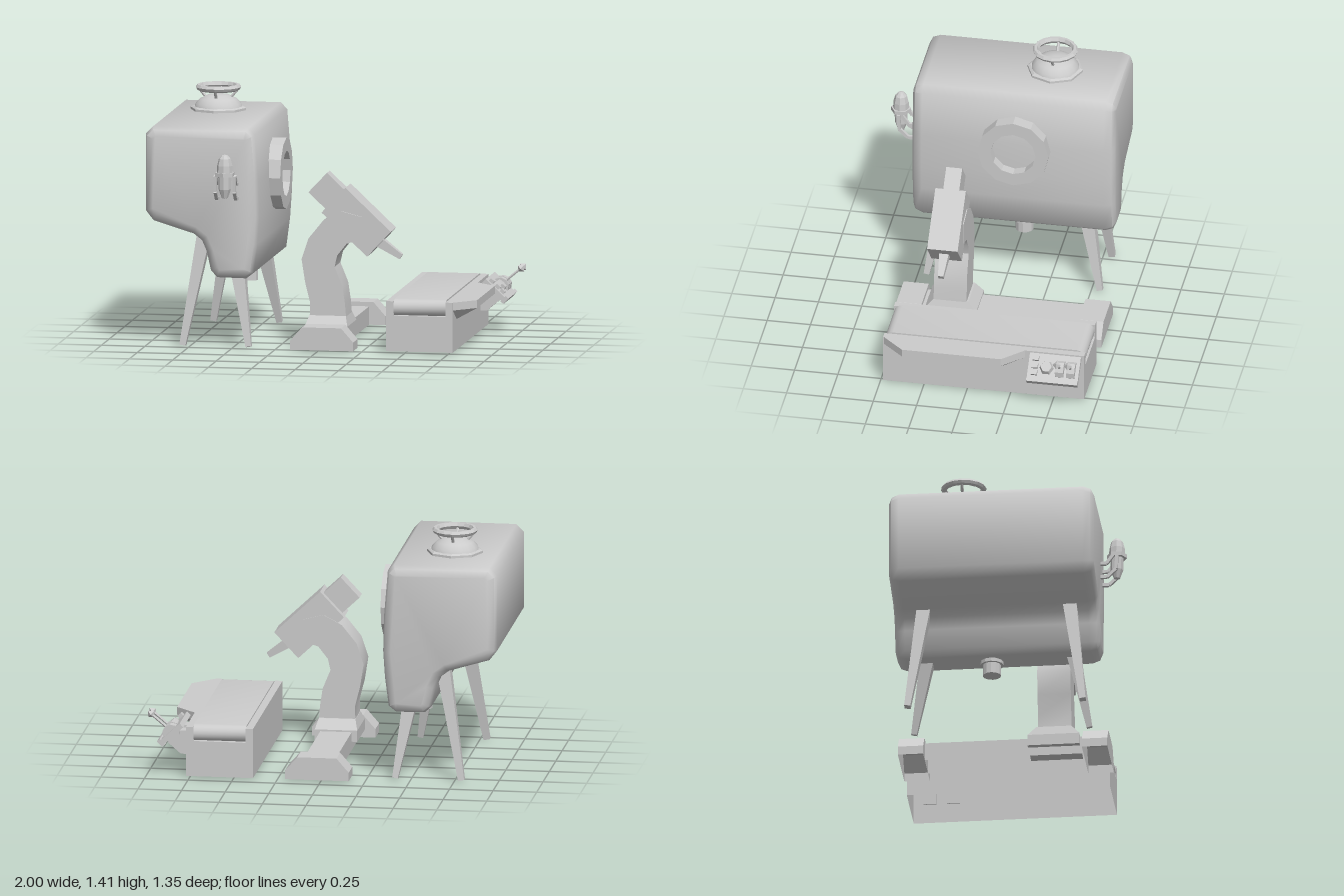
import * as THREE from 'three';
import { toCreasedNormals } from 'three/addons/utils/BufferGeometryUtils.js';
import { ConvexGeometry } from 'three/addons/geometries/ConvexGeometry.js';

const V = (x, y, z) => new THREE.Vector3(x, y, z);
const flat = new THREE.MeshStandardMaterial({ color: 0xcccccc, flatShading: true });
const smooth = new THREE.MeshStandardMaterial({ color: 0xcccccc });
const shell = new THREE.MeshStandardMaterial({ color: 0xcccccc, flatShading: true, side: THREE.DoubleSide });

function add(parent, name, geo, mat = flat) {
  const mesh = new THREE.Mesh(geo, mat);
  mesh.name = name;
  parent.add(mesh);
  return mesh;
}

function group(parent, name, x = 0, y = 0, z = 0) {
  const g = new THREE.Group();
  g.name = name;
  g.position.set(x, y, z);
  parent.add(g);
  return g;
}

// Box given by its limits on each axis
const box = (x0, x1, y0, y1, z0, z1) =>
  new THREE.BoxGeometry(x1 - x0, y1 - y0, z1 - z0).translate((x0 + x1) / 2, (y0 + y1) / 2, (z0 + z1) / 2);

const shapeOf = pts => new THREE.Shape(pts.map(p => new THREE.Vector2(...p)));

// Profile in x,y pulled along z
const pullZ = (pts, z0, z1) =>
  new THREE.ExtrudeGeometry(shapeOf(pts), { depth: z1 - z0, bevelEnabled: false }).translate(0, 0, z0);

// Profile in z,y pulled along x
const pullX = (pts, x0, x1) =>
  new THREE.ExtrudeGeometry(shapeOf(pts), { depth: x1 - x0, bevelEnabled: false }).rotateY(-Math.PI / 2).translate(x1, 0, 0);

const lathe = (pts, sides) => new THREE.LatheGeometry(pts.map(p => new THREE.Vector2(...p)), sides);

// Tapered rod from a to b
function rod(a, b, ra, rb, sides) {
  const dir = b.clone().sub(a);
  const geo = new THREE.CylinderGeometry(rb, ra, dir.length(), sides);
  if (sides === 4) geo.rotateY(Math.PI / 4);
  geo.applyQuaternion(new THREE.Quaternion().setFromUnitVectors(V(0, 1, 0), dir.normalize()));
  const mid = a.clone().add(b).multiplyScalar(0.5);
  return geo.translate(mid.x, mid.y, mid.z);
}

// Remove the faces lying on the ground, leaving a hollow shell
function openBottom(geo) {
  const src = geo.index ? geo.toNonIndexed() : geo;
  const p = src.attributes.position;
  const kept = [];
  for (let i = 0; i < p.count; i += 3) {
    if (Math.max(p.getY(i), p.getY(i + 1), p.getY(i + 2)) < 1e-4) continue;
    for (let k = i; k < i + 3; k++) kept.push(p.getX(k), p.getY(k), p.getZ(k));
  }
  const out = new THREE.BufferGeometry();
  out.setAttribute('position', new THREE.Float32BufferAttribute(kept, 3));
  out.computeVertexNormals();
  return out;
}

function buildTank(root) {
  const tank = group(root, 'tank');

  // Rounded body: inner outline swollen by the bevel
  const outline = [[-0.95, 1.19], [-0.935, 1.205], [-0.43, 1.205], [-0.42, 1.195], [-0.4, 0.95], [-0.395, 0.75],
    [-0.405, 0.6], [-0.424, 0.455], [-0.437, 0.445], [-0.565, 0.447], [-0.578, 0.46], [-0.6, 0.56], [-0.635, 0.64],
    [-0.7, 0.69], [-0.925, 0.758], [-0.95, 0.79]];
  const body = new THREE.ExtrudeGeometry(shapeOf(outline),
    { depth: 1.05, bevelThickness: 0.06, bevelSize: 0.05, bevelSegments: 2 }).translate(0, 0, -0.58);
  add(tank, 'tankBody', toCreasedNormals(body, 0.9), smooth);

  // Port ring on the side
  const port = add(tank, 'portRing', lathe([[0.205, 0], [0.205, 0.095], [0.13, 0.095], [0.13, 0]], 12));
  port.rotation.z = -Math.PI / 2;
  port.position.set(-0.38, 0.923, -0.07);

  // Hatch with a hand wheel on four struts
  const hatch = group(tank, 'hatch', -0.707, 1.25, -0.237);
  add(hatch, 'hatchFlange', lathe([[0.16, 0], [0.16, 0.018], [0.145, 0.026], [0, 0.026]], 8));
  add(hatch, 'hatchDome', toCreasedNormals(
    lathe([[0.138, 0.02], [0.13, 0.042], [0.105, 0.068], [0.06, 0.09], [0, 0.097]], 16), 0.6), smooth);
  add(hatch, 'handWheel', lathe([[0.096, 0.132], [0.108, 0.114], [0.122, 0.122], [0.13, 0.136], [0.12, 0.15],
    [0.105, 0.15], [0.096, 0.132]], 16));
  for (let i = 0; i < 4; i++) {
    const c = Math.cos(i * Math.PI / 2), s = Math.sin(i * Math.PI / 2);
    add(hatch, 'wheelStrut', rod(V(0.07 * c, 0.075, 0.07 * s), V(0.112 * c, 0.125, 0.112 * s), 0.009, 0.009, 6));
  }

  // Lamp held by two bent brackets on each side
  const lamp = group(tank, 'lamp', -0.518, 0, 0.618);
  add(lamp, 'lampRim', new THREE.CylinderGeometry(0.058, 0.058, 0.022, 6).translate(0, 1.01, 0));
  add(lamp, 'lampCap', lathe([[0.046, 1.02], [0.044, 1.06], [0.034, 1.1], [0.016, 1.12], [0, 1.123]], 8));
  add(lamp, 'lampSocket', lathe([[0, 0.87], [0.018, 0.875], [0.036, 0.925], [0.038, 1.0]], 8));
  for (const x of [-0.055, 0.055]) {
    const paths = [
      [V(x, 0.945, -0.11), V(x, 0.945, -0.055), V(x, 1.0, -0.015)],
      [V(x, 0.862, -0.11), V(x, 0.862, -0.05), V(x, 0.91, 0.0), V(x, 1.0, 0.005)]];
    for (const path of paths)
      for (let i = 1; i < path.length; i++)
        add(lamp, 'lampBracket', rod(path[i - 1], path[i], 0.013, 0.013, 4));
  }

  // Drain pipe below
  add(tank, 'drainPipe', new THREE.CylinderGeometry(0.052, 0.052, 0.1, 12).translate(-0.505, 0.355, -0.097));
  add(tank, 'drainFlange', new THREE.CylinderGeometry(0.066, 0.066, 0.02, 12).translate(-0.505, 0.38, -0.097));

  // Splayed legs
  for (const [zTop, zFoot] of [[0.36, 0.45], [-0.46, -0.55]]) {
    add(tank, 'outerLeg', rod(V(-0.79, 0, zFoot), V(-0.665, 0.7, zTop), 0.025, 0.058, 4));
    add(tank, 'innerLeg', rod(V(-0.41, 0, zFoot), V(-0.49, 0.46, zTop), 0.023, 0.058, 4));
  }
}

function buildArm(root) {
  const arm = group(root, 'railArm');

  // Hollow end blocks joined by a rail
  const block = [[-0.16, 0], [0.205, 0], [0.205, 0.05], [0.135, 0.13], [-0.09, 0.13], [-0.16, 0.05]];
  for (const [z0, z1] of [[-0.67, -0.525], [0.38, 0.525]])
    add(arm, 'railEndBlock', openBottom(pullZ(block, z0, z1)), shell);
  add(arm, 'rail', openBottom(box(-0.07, 0.11, 0, 0.105, -0.525, 0.38)), shell);

  // Carriage flaring down onto the rail
  const carriage = [];
  for (const [x, z, y] of [[0.122, 0.148, 0.05], [0.122, 0.148, 0.115], [0.105, 0.1, 0.17]])
    for (const sx of [-x, x]) for (const sz of [-z, z]) carriage.push(V(0.02 + sx, y, 0.212 + sz));
  add(arm, 'carriage', new ConvexGeometry(carriage));

  // Curved column
  const column = [[-0.085, 0.12], [-0.08, 0.24], [-0.11, 0.36], [-0.13, 0.49], [-0.09, 0.61], [-0.005, 0.715],
    [0.1, 0.77], [0.215, 0.74], [0.215, 0.61], [0.13, 0.585], [0.075, 0.515], [0.06, 0.45], [0.105, 0.34],
    [0.12, 0.24], [0.13, 0.12]];
  add(arm, 'column', toCreasedNormals(pullZ(column, 0.122, 0.312), 0.5), smooth);

  // Tilted head with a rear motor and a tapered nozzle
  const head = group(arm, 'head', 0.183, 0.708, 0.215);
  head.rotation.z = -0.755;
  add(head, 'headCase', box(-0.18, 0.18, -0.1, 0.1, -0.088, 0.088));
  add(head, 'headMotor', box(-0.315, -0.17, -0.078, 0.078, -0.046, 0.046));
  add(head, 'nozzle', rod(V(0.17, -0.005, 0), V(0.318, 0.02, 0), 0.04, 0.022, 4));
}

function buildConveyor(root) {
  const conveyor = group(root, 'conveyor');
  add(conveyor, 'conveyorBase', openBottom(box(0.388, 0.772, 0, 0.205, -0.675, 0.485)), shell);
  for (const [x0, x1] of [[0.388, 0.43], [0.73, 0.772]])
    add(conveyor, 'sideWall', box(x0, x1, 0.2, 0.287, -0.675, 0.485));

  // Belt rounded over both ends
  const belt = [];
  for (const [centre, start] of [[0.435, -90], [-0.625, 90]])
    for (let i = 0; i <= 8; i++) {
      const a = (start + i * 22.5) * Math.PI / 180;
      belt.push([centre + 0.048 * Math.cos(a), 0.248 + 0.048 * Math.sin(a)]);
    }
  add(conveyor, 'belt', toCreasedNormals(pullX(belt, 0.43, 0.73), 0.6), smooth);

  // Side tray with cut corners and a sloping underside
  const tray = [V(0.77, 0.175, 0.355), V(0.77, 0.175, -0.215)];
  for (const y of [0.242, 0.287])
    tray.push(V(0.77, y, 0.483), V(0.89, y, 0.355), V(0.89, y, -0.215), V(0.77, y, -0.335));
  add(conveyor, 'sideTray', new ConvexGeometry(tray));

  // Tilted control panel: local y points out of the panel
  const panel = group(conveyor, 'controlPanel', 0.86, 0.235, -0.517);
  panel.rotation.z = -0.75;
  add(panel, 'panelPlate', box(-0.082, 0.082, -0.015, 0.015, -0.147, 0.147));
  add(panel, 'panelLip', box(0.066, 0.088, -0.02, 0.024, -0.147, 0.147));
  add(panel, 'knob', new THREE.CylinderGeometry(0.032, 0.042, 0.03, 6).translate(0, 0.028, -0.04 + 0.08));
  for (const x of [-0.05, -0.005, 0.035])
    add(panel, 'switch', box(x - 0.014, x + 0.014, 0.01, 0.035, 0.09, 0.125));
  for (const z of [-0.038, -0.102]) {
    add(panel, 'leverSlot', rod(V(0, 0.005, z - 0.024), V(0, 0.005, z + 0.024), 0.05, 0.05, 10));
    add(panel, 'lever', rod(V(0, 0.04, z), V(0.015, 0.158, z), 0.008, 0.008, 6));
    add(panel, 'leverTip', new THREE.OctahedronGeometry(0.025).translate(0.016, 0.16, z));
  }

  // Brackets under the panel
  const bracket = [[0.765, 0.115], [0.81, 0.115], [0.885, 0.18], [0.84, 0.25], [0.765, 0.25]];
  for (const z of [-0.447, -0.583])
    add(conveyor, 'panelBracket', pullZ(bracket, z - 0.037, z + 0.037));
}

export function createModel() {
  const root = new THREE.Group();
  root.name = 'machineSet';
  buildTank(root);
  buildArm(root);
  buildConveyor(root);
  return root;
}
